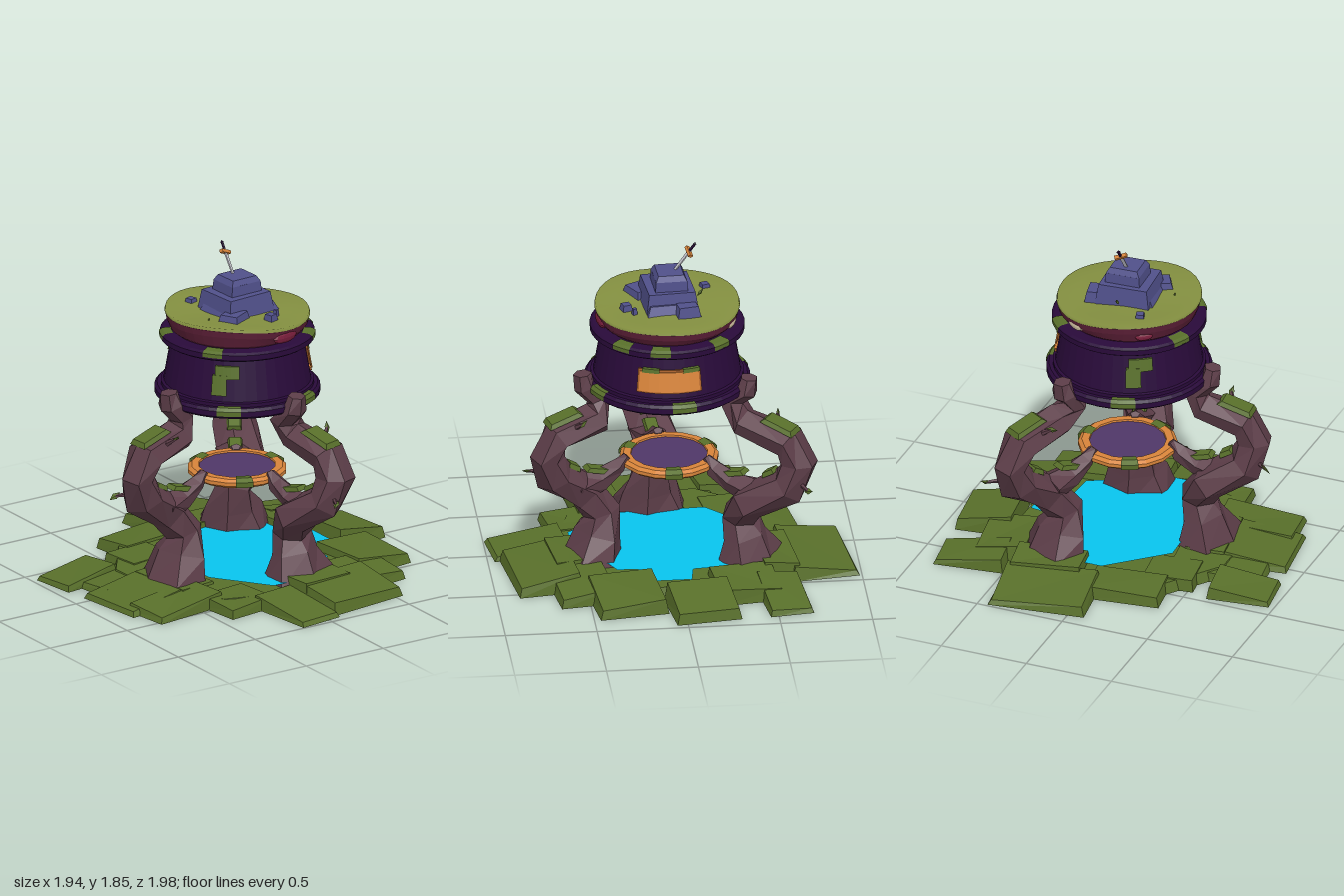
import * as THREE from 'three';

const mat = (color, flat = true) =>
  new THREE.MeshStandardMaterial({ color, flatShading: flat, side: THREE.DoubleSide });
const GRASS = mat(0x586f2a), BARK = mat(0x5c3d48), ROCK = mat(0x50508a), ORANGE = mat(0xd8843a);
const PURPLE = mat(0x290a3a), WATER = mat(0x08c4ee), RED = mat(0x5e2038), OLIVE = mat(0x838f40, false);
const DARKRED = mat(0x7a1f3c), CREAM = mat(0xd0c0a0), VIOLET = mat(0x4f3768), STEEL = mat(0xc4c4cc);
const CX = 0.035, CZ = 0.02; // axis of the drum
const UP = new THREE.Vector3(0, 1, 0);
const DEG = Math.PI / 180;

// Box standing on y = 0 with a narrower top
function frustum(w, h, d, taper) {
  const g = new THREE.BoxGeometry(w, h, d).translate(0, h / 2, 0), p = g.attributes.position;
  for (let i = 0; i < p.count; i++)
    if (p.getY(i) > h / 2) p.setXYZ(i, p.getX(i) * taper, h, p.getZ(i) * taper);
  return g;
}

// Faceted limb swept through points with a radius at each, wider along the side axis
function limb(pts, radii, side, n) {
  const pos = [], last = pts.length - 1;
  const rings = pts.map((c, i) => {
    const t = pts[Math.min(i + 1, last)].clone().sub(pts[Math.max(i - 1, 0)]).normalize();
    const u = side.clone().addScaledVector(t, -side.dot(t)).normalize();
    const v = t.clone().cross(u);
    return Array.from({ length: n }, (_, j) => {
      const a = (j / n) * Math.PI * 2 + 0.3, r = radii[i] * (1 + 0.12 * Math.sin(i * 2.3 + j * 4.1));
      return c.clone().addScaledVector(u, 1.2 * r * Math.cos(a)).addScaledVector(v, r * Math.sin(a));
    });
  });
  const tri = (...c) => c.forEach((q) => pos.push(q.x, q.y, q.z));
  for (let j = 0; j < n; j++) {
    const k = (j + 1) % n;
    for (let i = 0; i < last; i++) {
      tri(rings[i][j], rings[i][k], rings[i + 1][k]);
      tri(rings[i][j], rings[i + 1][k], rings[i + 1][j]);
    }
    tri(pts[last], rings[last][j], rings[last][k]);
    tri(pts[0], rings[0][k], rings[0][j]);
  }
  const g = new THREE.BufferGeometry();
  g.setAttribute('position', new THREE.Float32BufferAttribute(pos, 3));
  g.computeVertexNormals();
  return g;
}

const lathe = (pts, seg = 40, start = 0, len = 360) =>
  new THREE.LatheGeometry(pts.map(([r, y]) => new THREE.Vector2(r, y)), seg, start * DEG, len * DEG);

export function createModel() {
  const root = new THREE.Group();
  const add = (name, geo, material, parent = root) => {
    const m = new THREE.Mesh(geo, material);
    m.name = name;
    parent.add(m);
    return m;
  };
  const group = (name, parent = root) => {
    const g = new THREE.Group();
    g.name = name;
    parent.add(g);
    return g;
  };

  // Ground slabs: [centre x, centre z, width, depth], turned a little, higher on the left, sloping down outwards
  const ground = group('ground');
  [[0.2, -0.77, 0.54, 0.37], [-0.2, -0.57, 0.42, 0.25], [-0.78, -0.32, 0.35, 0.26], [-0.57, -0.15, 0.53, 0.28],
    [-0.71, 0.13, 0.36, 0.41], [-0.59, 0.36, 0.45, 0.28], [-0.3, 0.52, 0.3, 0.28], [-0.08, 0.77, 0.26, 0.42],
    [0.28, 0.73, 0.49, 0.35], [0.5, 0.53, 0.37, 0.31], [0.66, 0.3, 0.37, 0.38], [0.79, -0.1, 0.32, 0.36],
    [0.71, -0.55, 0.39, 0.24], [0.59, -0.35, 0.29, 0.37], [0.27, -0.54, 0.41, 0.21], [-0.37, -0.33, 0.29, 0.25],
    [-0.43, 0.1, 0.23, 0.43], [0.18, 0.57, 0.33, 0.22]].forEach(([cx, cz, w, d], i) => {
    const g = new THREE.BoxGeometry(w, 1, d).rotateY(0.13).translate(cx, 0.5, cz), p = g.attributes.position;
    for (let k = 0; k < p.count; k++) {
      if (p.getY(k) < 0.5) continue;
      const x = p.getX(k), z = p.getZ(k), far = Math.max(0, Math.hypot(x, z) - 0.7);
      const y = (cx > 0.1 ? 0.108 : 0.075) + 0.008 * (i % 3 - 1) - 0.2 * far;
      p.setXYZ(k, cx + (x - cx) * 0.94, Math.max(0.025, y), cz + (z - cz) * 0.92);
    }
    add('groundSlab', g, GRASS, ground);
  });
  add('groundBase', new THREE.CylinderGeometry(0.64, 0.66, 0.06, 10).translate(0, 0.03, 0), GRASS, ground);

  // Pond
  const shore = [[-0.32, -0.22], [-0.02, -0.5], [0.1, -0.5], [0.42, -0.42], [0.45, -0.08], [0.58, -0.06],
    [0.58, 0.13], [0.43, 0.15], [0.42, 0.33], [0, 0.55], [-0.08, 0.55], [-0.3, 0.25]];
  const pond = new THREE.Shape(shore.map(([x, z]) => new THREE.Vector2(x, -z)));
  add('pond', new THREE.ShapeGeometry(pond).rotateX(-Math.PI / 2).translate(0, 0.086, 0), WATER);

  // Legs share one outline of [reach, height, thickness, sway]; each has its own angle, spread and twist of the top
  const trunk = [[0.455, 0.04, 0.18, -0.01], [0.42, 0.2, 0.125, -0.01], [0.395, 0.31, 0.095, -0.01],
    [0.48, 0.43, 0.112, 0.04], [0.67, 0.56, 0.105, 0.01], [0.72, 0.69, 0.092, -0.01], [0.665, 0.81, 0.09, -0.01],
    [0.42, 0.875, 0.085, 0], [0.385, 0.97, 0.07, 0], [0.465, 1.05, 0.062, 0], [0.475, 1.125, 0.045, 0]];
  const branch = [[0.53, 0.47, 0.085], [0.39, 0.505, 0.06], [0.285, 0.56, 0.045], [0.235, 0.615, 0.022]];
  [[75, 0.97, 6], [174, 0.98, 1], [-58, 1.1, -5]].forEach(([angle, spread, twist]) => {
    const leg = group('leg');
    const at = (reach, y, across = 0, turn = 0) => {
      const a = (angle + turn) * DEG;
      return new THREE.Vector3(CX + reach * Math.cos(a) - across * Math.sin(a), y,
        CZ + reach * Math.sin(a) + across * Math.cos(a));
    };
    const side = at(0, 0, 1).sub(at(0, 0)), out = at(1, 0).sub(at(0, 0));
    const trunkPts = trunk.map(([r, y, , s], i) => (i < 8 ? at(r * spread, y, s) : at(r, y, s, twist)));
    add('trunk', limb(trunkPts, trunk.map((p) => p[2]), side, 6), BARK, leg);
    add('branch', limb(branch.map(([r, y]) => at(r, y)), branch.map((p) => p[2]), side, 5), BARK, leg);

    // Moss lying on the upper bend, the branch and the knee
    const moss = (pos, length, width, lean) => {
      const m = add('legMoss', frustum(length, 0.025, width, 0.8).rotateY(-angle * DEG), GRASS, leg);
      m.position.copy(pos);
      m.quaternion.setFromUnitVectors(UP, UP.clone().addScaledVector(out, lean).normalize());
    };
    moss(at(0.62 * spread, 0.895), 0.2, 0.12, 0.3);
    moss(at(0.4, 0.55), 0.16, 0.08, -0.25);
    moss(at(0.57 * spread, 0.6), 0.08, 0.08, -0.6);

    // Twigs with a leaf at the end
    const twig = (from, to) => {
      const g = group('twig', leg), dir = to.clone().sub(from), L = dir.length();
      add('stem', new THREE.CylinderGeometry(0.008, 0.02, L, 5).translate(0, L / 2, 0), BARK, g);
      const leaf = add('leaf', new THREE.OctahedronGeometry(0.03).scale(0.6, 1.2, 0.25), GRASS, g);
      leaf.position.y = L;
      leaf.rotation.z = 0.5;
      g.position.copy(from);
      g.quaternion.setFromUnitVectors(UP, dir.normalize());
    };
    twig(at(0.7 * spread, 0.6), at(0.81 * spread, 0.58, 0.08));
    twig(at(0.58 * spread, 0.86, -0.06), at(0.55 * spread, 0.91, -0.13));
  });

  // Round tray between the legs
  const tray = group('tray');
  tray.position.set(CX + 0.005, 0, CZ - 0.01);
  add('trayRim', lathe([[0.2, 0.55], [0.25, 0.55], [0.27, 0.565], [0.27, 0.585], [0.25, 0.6], [0.21, 0.6], [0.2, 0.55]], 16), ORANGE, tray);
  add('trayTop', new THREE.CylinderGeometry(0.21, 0.21, 0.03, 16).translate(0, 0.575, 0), VIOLET, tray);
  for (const a of [80, 195, 325])
    add('trayMoss', lathe([[0.2, 0.602], [0.25, 0.608], [0.278, 0.59], [0.275, 0.56]], 3, a, 20), GRASS, tray);

  // Drum
  const drum = group('drum');
  drum.position.set(CX, 0, CZ);
  add('drumBody', lathe([[0, 1.02], [0.43, 1.02], [0.45, 1.035], [0.45, 1.065], [0.435, 1.08], [0.415, 1.08],
    [0.415, 1.1], [0.4, 1.105], [0.36, 1.335], [0.405, 1.34], [0.42, 1.35], [0.42, 1.38], [0.405, 1.39],
    [0.345, 1.395], [0, 1.395]]), PURPLE, drum);

  // Raised patches on the sloping wall: angles, heights, thickness
  const patch = (name, a0, a1, y0, y1, t, material) => {
    const r = (y) => 0.4 - (y - 1.105) * 0.174;
    add(name, lathe([[r(y0) - 0.01, y0], [r(y0) + t, y0], [r(y1) + t, y1], [r(y1) - 0.01, y1]], 6, a0, a1 - a0), material, drum);
  };
  patch('plaqueFrame', 60, 112, 1.135, 1.265, 0.01, mat(0xa85f28));
  patch('plaque', 62, 110, 1.145, 1.255, 0.016, ORANGE);
  for (const a of [64, 97]) patch('plaqueMoss', a, a + 14, 1.25, 1.272, 0.02, GRASS);
  for (const a of [-54, 200]) {
    patch('wallMoss', a + 2, a + 22, 1.23, 1.3, 0.012, GRASS);
    patch('wallMoss', a, a + 12, 1.14, 1.25, 0.014, GRASS);
  }

  // Thin moss draped over the two ring mouldings
  for (const a of [18, 88, 190, 312])
    add('lowerRingMoss', lathe([[0.41, 1.086], [0.438, 1.084], [0.455, 1.066], [0.455, 1.04]], 6, a, 17), GRASS, drum);
  for (const a of [40, 72, 122, 238, 300])
    add('upperRingMoss', lathe([[0.36, 1.398], [0.406, 1.394], [0.424, 1.382], [0.424, 1.36]], 6, a, 15), GRASS, drum);

  // Wavy cap with a grassy top
  const wave = (g) => {
    const p = g.attributes.position;
    for (let i = 0; i < p.count; i++) {
      const x = p.getX(i), z = p.getZ(i), k = Math.hypot(x, z) / 0.39;
      if (p.getY(i) > 1.44) p.setY(i, p.getY(i) + k * (0.008 * Math.sin(3 * Math.atan2(z, x) + 1) - 0.04 * x));
    }
    g.computeVertexNormals();
    return g;
  };
  add('cap', wave(lathe([[0.34, 1.39], [0.365, 1.41], [0.385, 1.45], [0.392, 1.485], [0.38, 1.495]])), RED, drum);
  add('capGrass', wave(lathe([[0.395, 1.487], [0.39, 1.503], [0.3, 1.495], [0.15, 1.5], [0, 1.5]])), OLIVE, drum);
  const spot = (a, size, material) => {
    const m = add('capSpot', new THREE.SphereGeometry(size, 10, 6).scale(1, 0.4, 0.25), material, drum);
    m.position.set(0.375 * Math.sin(a * DEG), 1.437, 0.375 * Math.cos(a * DEG));
    m.rotation.y = a * DEG;
  };
  spot(10, 0.085, DARKRED);
  spot(152, 0.06, CREAM);
  spot(215, 0.05, DARKRED);

  // Stepped rock and loose stones
  const rock = group('rock');
  const stone = (x, y, z, w, h, d, yaw, taper = 0.82) => {
    const m = add('stone', frustum(w, h, d, taper), ROCK, rock);
    m.position.set(x, y, z);
    m.rotation.y = yaw;
  };
  stone(0.04, 1.48, 0.03, 0.36, 0.065, 0.27, 0.1);
  stone(0.03, 1.48, 0.015, 0.31, 0.125, 0.29, 0.08, 0.88);
  stone(0.04, 1.6, 0.01, 0.2, 0.06, 0.18, 0.05, 0.95);
  stone(0.04, 1.66, 0.01, 0.19, 0.03, 0.17, 0.05);
  stone(-0.08, 1.49, 0.16, 0.15, 0.05, 0.12, 0.5);
  stone(0.18, 1.49, -0.07, 0.13, 0.06, 0.13, 0.2);
  for (const [x, z, s] of [[-0.12, -0.2, 0.05], [0.1, 0.25, 0.055], [0.16, 0.21, 0.025]])
    stone(x, 1.49, z, s, 0.035, s, 0.3);
  for (const [x, z] of [[0.03, -0.16], [-0.2, 0.09], [-0.17, 0.13]]) {
    const m = add('sprout', new THREE.OctahedronGeometry(0.025).scale(0.4, 1.1, 0.4), GRASS, rock);
    m.position.set(x, 1.51 - z * 0.2, z);
    m.rotation.x = z * 4;
  }

  // Sword stuck in the rock, leaning back
  const sword = group('sword');
  sword.position.set(0.035, 1.67, -0.01);
  sword.rotation.set(-36 * DEG, 0.4, 0);
  add('blade', frustum(0.016, 0.16, 0.007, 1.2), STEEL, sword);
  add('guard', new THREE.BoxGeometry(0.07, 0.018, 0.022).rotateZ(-0.2).translate(0, 0.15, 0), ORANGE, sword);
  add('grip', new THREE.CylinderGeometry(0.008, 0.008, 0.045, 6).translate(0, 0.18, 0), PURPLE, sword);
  add('pommel', new THREE.OctahedronGeometry(0.012).translate(0, 0.205, 0), PURPLE, sword);
  return root;
}
